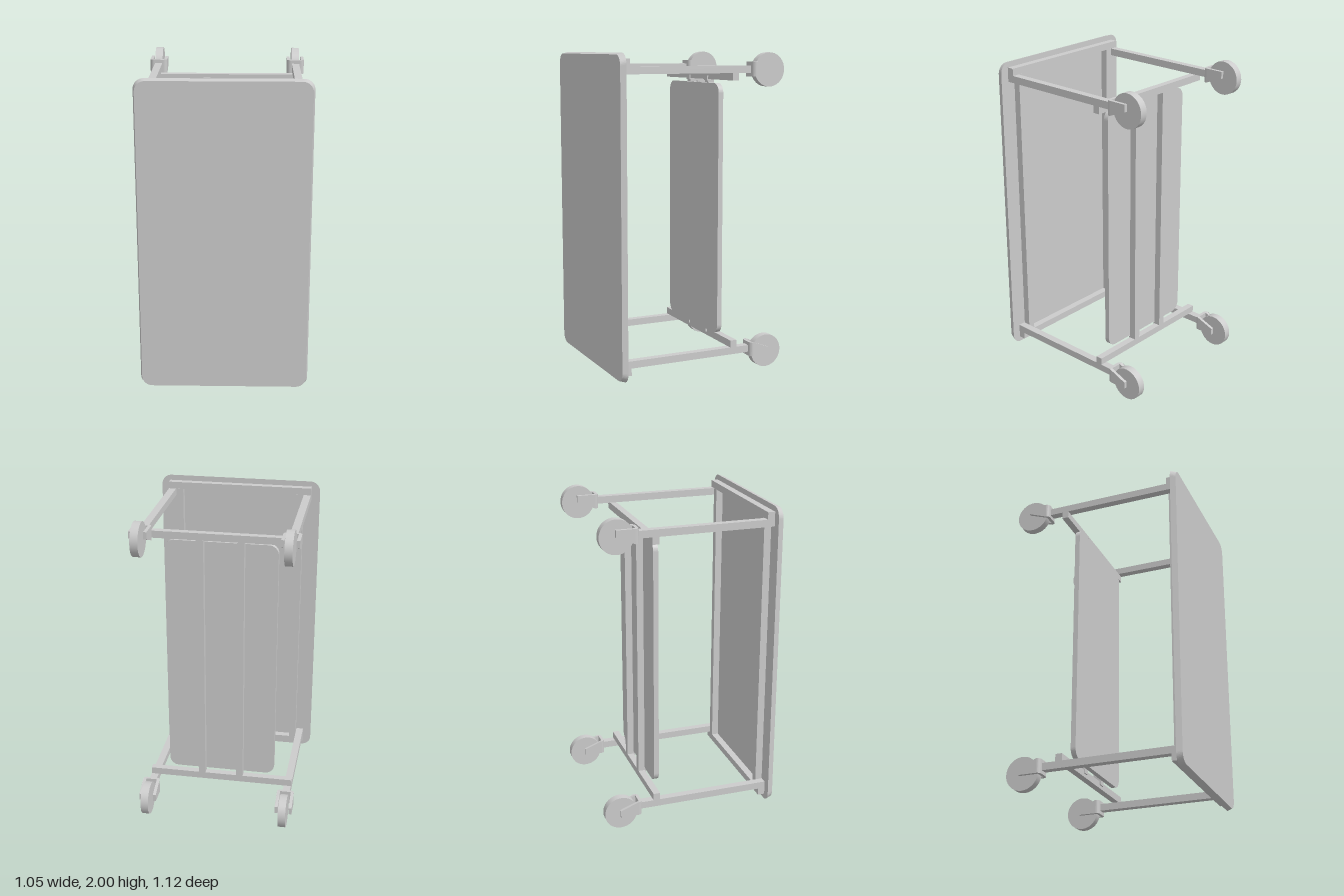
import * as THREE from 'three';

const TUBE = 0.045;

export function createModel() {
  const model = new THREE.Group();
  const grey = new THREE.MeshStandardMaterial({ color: 0xcccccc });

  const add = (name, geometry, parent = model) => {
    const mesh = new THREE.Mesh(geometry, grey);
    mesh.name = name;
    parent.add(mesh);
    return mesh;
  };

  // Box given by its minimum and maximum on each axis
  const bar = (name, x0, x1, y0, y1, z0, z1) => {
    const mesh = add(name, new THREE.BoxGeometry(x1 - x0, y1 - y0, z1 - z0));
    mesh.position.set((x0 + x1) / 2, (y0 + y1) / 2, (z0 + z1) / 2);
    return mesh;
  };

  // Upright panel with rounded corners; the front face is inset by taper
  const panel = (name, w, h, depth, r, taper, y, z) => {
    const a = w / 2, b = h / 2;
    const s = new THREE.Shape();
    s.moveTo(-a + r, -b);
    s.absarc(a - r, -b + r, r, -Math.PI / 2, 0);
    s.absarc(a - r, b - r, r, 0, Math.PI / 2);
    s.absarc(-a + r, b - r, r, Math.PI / 2, Math.PI);
    s.absarc(-a + r, -b + r, r, Math.PI, Math.PI * 1.5);
    const g = new THREE.ExtrudeGeometry(s, { depth, bevelEnabled: false, curveSegments: 6 });
    const p = g.attributes.position;
    for (let i = 0; i < p.count; i++) {
      if (p.getZ(i) < depth / 2) continue;
      p.setX(i, p.getX(i) * (1 - taper / a));
      p.setY(i, p.getY(i) * (1 - taper / b));
    }
    g.computeVertexNormals();
    add(name, g).position.set(0, y, z);
  };

  // U-shaped caster fork opening to the back; its inner edge slopes to the tips
  const forkGeometry = (end) => {
    const w = 0.055, t = 0.02, len = 0.14, r = 0.025, h = 0.09;
    const s = new THREE.Shape();
    s.moveTo(-w + r, 0);
    s.lineTo(w - r, 0);
    s.absarc(w - r, r, r, -Math.PI / 2, 0);
    s.lineTo(w, len);
    s.lineTo(w - t, len);
    s.lineTo(w - t, t);
    s.lineTo(-w + t, t);
    s.lineTo(-w + t, len);
    s.lineTo(-w, len);
    s.lineTo(-w, r);
    s.absarc(-w + r, r, r, Math.PI, Math.PI * 1.5);
    const g = new THREE.ExtrudeGeometry(s, { depth: h, bevelEnabled: false, curveSegments: 5 });
    g.rotateX(-Math.PI / 2).translate(0, -h / 2, 0);
    const p = g.attributes.position;
    for (let i = 0; i < p.count; i++) {
      const inner = p.getY(i) * end < 0;
      if (inner && p.getZ(i) < -len + 0.01) p.setY(i, 0);
    }
    g.computeVertexNormals();
    return g;
  };

  // Table top and lower shelf
  panel('tableTop', 1.05, 1.97, 0.035, 0.065, 0.01, 1.015, 0.525);
  panel('shelf', 0.7, 1.595, 0.032, 0.06, 0, 1.0125, -0.198);

  // Frame rails along the long sides
  for (const side of [-1, 1]) {
    const x = side * 0.3975;
    bar('sideRail', x - TUBE / 2, x + TUBE / 2, 0.11, 1.92, 0.48, 0.525);
    const sx = side * 0.125;
    bar('shelfBar', sx - TUBE / 2, sx + TUBE / 2, 0.2, 1.83, -0.241, -0.198);
  }

  // Each end: cross rails, legs and casters
  for (const end of [-1, 1]) {
    const legY = 1.0155 + end * 0.8825;
    const span = (a, b) => [Math.min(legY + end * a, legY + end * b), Math.max(legY + end * a, legY + end * b)];

    bar('topCrossRail', -0.47, 0.47, ...span(0.0225, 0.0675), 0.48, 0.525);
    bar('shelfCrossRail', -0.47, 0.47, ...span(-0.0675, -0.0225), -0.241, -0.198);

    for (const side of [-1, 1]) {
      const x = side * 0.4465;
      bar('leg', x - 0.0235, x + 0.0235, ...span(-0.0225, 0.0225), -0.33, 0.525);

      // Small tab joining the shelf bar to the cross rail
      const tx = side * 0.125;
      bar('shelfTab', tx - TUBE / 2, tx + TUBE / 2, ...span(-0.075, -0.045), -0.2, -0.19);

      const caster = new THREE.Group();
      caster.name = 'caster';
      model.add(caster);
      add('casterFork', forkGeometry(end), caster).position.set(x, legY, -0.325);
      const wheel = add('wheel', new THREE.CylinderGeometry(0.105, 0.105, 0.048, 36).rotateZ(Math.PI / 2), caster);
      wheel.position.set(x, end > 0 ? 1.895 : 0.105, -0.455);
    }
  }

  return model;
}
